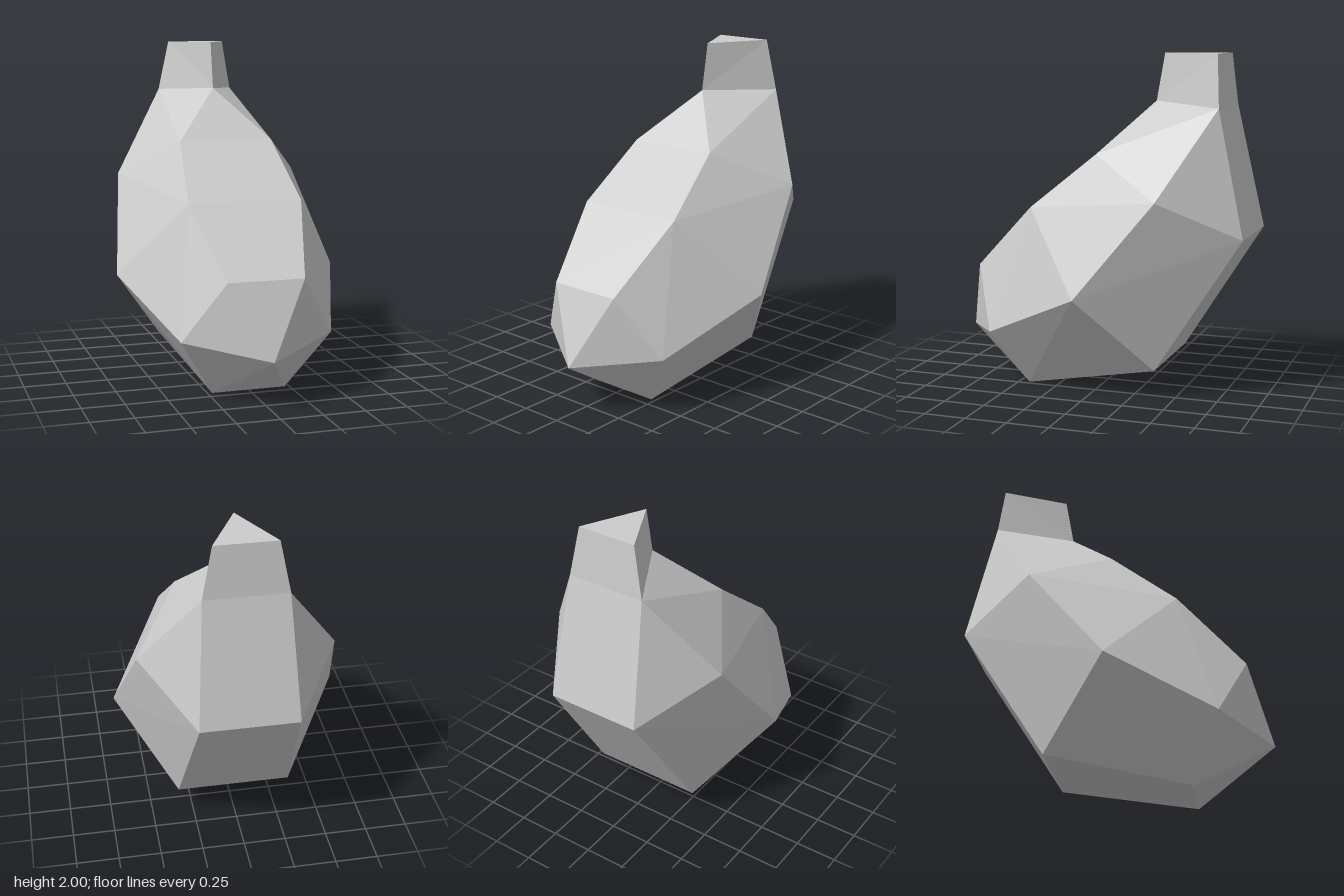
import * as THREE from 'three';

// Corner points of the left half; a trailing "-" in a face means the mirrored point.
const P = {
  neckFront: [0, 1.72, -0.3], neckSide: [0.24, 1.695, -0.735],
  topFront: [0, 2, -0.35], topSide: [0.18, 2, -0.71],
  chest: [0.285, 1.42, -0.02], belly: [0.34, 1.1, 0.37], shin: [0.225, 0.715, 0.755], nose: [0, 0.285, 0.895],
  shoulder: [0.572, 1.19, -0.46], hip: [0.68, 0.635, -0.015], cheek: [0.448, 0.355, 0.595],
  back: [0.285, 0.96, -0.895], baseFront: [0.222, 0, 0.435], baseBack: [0.34, 0.175, -0.395],
};

const point = (name) => {
  const mirrored = name.endsWith('-');
  const [x, y, z] = P[mirrored ? name.slice(0, -1) : name];
  return new THREE.Vector3(mirrored ? -x : x, y, z);
};
const mirror = (name) => (name.endsWith('-') || P[name][0] === 0 ? name.replace('-', '') : name + '-');

// Builds a faceted shell from side faces (mirrored) and middle faces, all turned away from the centre.
function shell(name, sideFaces, middleFaces, centre, material) {
  const positions = [];
  const addFace = (names) => {
    const pts = names.map(point);
    for (let i = 1; i < pts.length - 1; i++) {
      const t = new THREE.Triangle(pts[0], pts[i], pts[i + 1]);
      const out = t.getMidpoint(new THREE.Vector3()).sub(centre);
      const order = t.getNormal(new THREE.Vector3()).dot(out) > 0 ? [t.a, t.b, t.c] : [t.a, t.c, t.b];
      order.forEach((v) => positions.push(v.x, v.y, v.z));
    }
  };
  sideFaces.forEach((f) => { addFace(f); addFace(f.map(mirror)); });
  middleFaces.forEach(addFace);
  const geometry = new THREE.BufferGeometry();
  geometry.setAttribute('position', new THREE.Float32BufferAttribute(positions, 3));
  geometry.computeVertexNormals();
  const mesh = new THREE.Mesh(geometry, material);
  mesh.name = name;
  return mesh;
}

export function createModel() {
  const group = new THREE.Group();
  group.name = 'facetedGourd';
  const grey = new THREE.MeshStandardMaterial({ color: 0xcccccc, flatShading: true });
  grey.name = 'light grey';

  // Leaning faceted body
  group.add(shell('body', [
    ['neckFront', 'neckSide', 'chest'],
    ['neckSide', 'shoulder', 'chest'],
    ['chest', 'shoulder', 'belly'],
    ['belly', 'shoulder', 'hip'],
    ['belly', 'hip', 'cheek'],
    ['belly', 'cheek', 'shin'],
    ['shin', 'cheek', 'nose'],
    ['nose', 'cheek', 'baseFront'],
    ['cheek', 'hip', 'baseFront'],
    ['hip', 'baseBack', 'baseFront'],
    ['hip', 'back', 'baseBack'],
    ['hip', 'shoulder', 'back'],
    ['shoulder', 'neckSide', 'back'],
  ], [
    ['neckFront', 'chest', 'chest-'],
    ['chest', 'belly', 'belly-', 'chest-'],
    ['belly', 'shin', 'shin-', 'belly-'],
    ['shin', 'nose', 'shin-'],
    ['nose', 'baseFront', 'baseFront-'],
    ['baseFront', 'baseBack', 'baseBack-', 'baseFront-'],
    ['baseBack', 'back', 'back-', 'baseBack-'],
    ['back', 'neckSide', 'neckSide-', 'back-'],
  ], new THREE.Vector3(0, 0.85, -0.1), grey));

  // Three-sided tapering neck with a flat top
  group.add(shell('neck', [
    ['neckFront', 'neckSide', 'topSide', 'topFront'],
  ], [
    ['neckSide', 'neckSide-', 'topSide-', 'topSide'],
    ['topFront', 'topSide', 'topSide-'],
  ], new THREE.Vector3(0, 1.85, -0.6), grey));

  return group;
}
